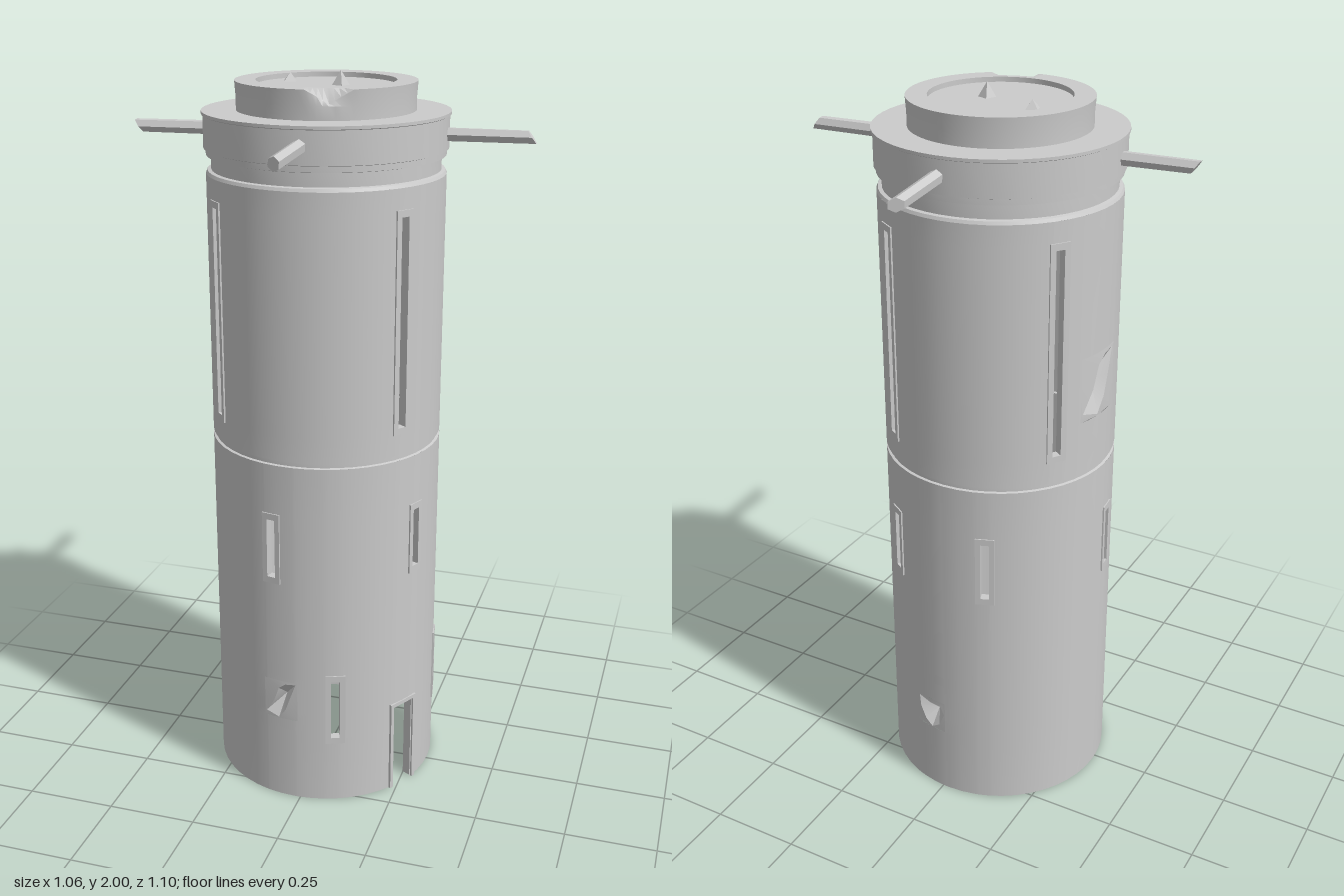
import * as THREE from 'three';
import { toCreasedNormals } from 'three/addons/utils/BufferGeometryUtils.js';

const R = 0.317, RAD = Math.PI / 180;
const grey = new THREE.MeshStandardMaterial({ color: 0xcccccc, side: THREE.DoubleSide });
const onWall = (deg, y, r = R) => [Math.cos(deg * RAD) * r, y, Math.sin(deg * RAD) * r];
const widthToDeg = (w) => w / R / RAD;

// angle around the tower (0 = +x, 90 = front), bottom, top
const upperSlits = [34.5, 137, 214.5, 304.5].map((a) => ({ a, y0: 1.09, y1: 1.685, w: 0.055 }));
const middleSlits = [23, 101, 174, 249, 304].map((a) => ({ a, y0: 0.67, y1: 0.875, w: 0.052 }));
const lowerSlits = [68.5, 350.5].map((a) => ({ a, y0: 0.185, y1: 0.4, w: 0.055 }));
const door = { a: 29.5, y0: 0, y1: 0.275, w: 0.1 };

// battle damage: eight outline points, matched to the corners and edge middles of a rectangle
const RECT = [[-1, -1], [0, -1], [1, -1], [1, 0], [1, 1], [0, 1], [-1, 1], [-1, 0]];
const slanted = [[-0.9, -0.75], [-0.1, -0.95], [0.3, -0.5], [0.55, 0.1], [0.9, 0.9], [0.3, 0.85], [-0.1, 0.6], [-0.4, -0.1]];
const blocky = [[-0.4, -0.6], [0.1, -0.95], [0.6, -0.6], [0.95, 0.2], [0.7, 0.7], [0, 0.7], [-0.9, 0.85], [-0.8, 0.1]];
const frontDent = { a: 97, y0: 0.25, y1: 0.37, w: 0.1, outline: slanted };
const backDent = { a: 280.5, y0: 0.2, y1: 0.3, w: 0.1, outline: blocky };
const sideDent = { a: 187, y0: 1.18, y1: 1.36, w: 0.15, outline: slanted };

function mesh(name, geometry, parent) {
  const m = new THREE.Mesh(geometry, grey);
  m.name = name;
  parent.add(m);
  return m;
}

function fromTriangles(pos) {
  const g = new THREE.BufferGeometry();
  g.setAttribute('position', new THREE.Float32BufferAttribute(pos, 3));
  return g;
}

// cylinder wall as a grid of cells, leaving out the openings
function wall(y0, y1, openings) {
  const holes = openings.map((o) => {
    const half = widthToDeg(o.outline ? o.w : o.w * 0.7) / 2;
    const inset = o.outline || o === door ? 0 : 0.01;
    return [o.a - half, o.a + half, o.y0 + inset, o.y1 - inset];
  });
  const angles = Array.from({ length: 49 }, (_, i) => i * 7.5).concat(holes.flatMap((h) => [h[0], h[1]]));
  const heights = [y0, y1].concat(holes.flatMap((h) => [h[2], h[3]]));
  const tidy = (list) => [...new Set(list.map((v) => +v.toFixed(4)))].sort((p, q) => p - q);
  const A = tidy(angles), Y = tidy(heights), pos = [];
  for (let i = 0; i < A.length - 1; i++) {
    for (let j = 0; j < Y.length - 1; j++) {
      const ca = (A[i] + A[i + 1]) / 2, cy = (Y[j] + Y[j + 1]) / 2;
      if (holes.some((h) => ca > h[0] && ca < h[1] && cy > h[2] && cy < h[3])) continue;
      const a = onWall(A[i + 1], Y[j]), b = onWall(A[i], Y[j]);
      const c = onWall(A[i], Y[j + 1]), d = onWall(A[i + 1], Y[j + 1]);
      pos.push(...a, ...b, ...c, ...a, ...c, ...d);
    }
  }
  return toCreasedNormals(fromTriangles(pos), 0.5);
}

// surround of wall surface plus a faceted pit
function dent(o) {
  const at = ([u, v], r) => onWall(o.a - (u * widthToDeg(o.w)) / 2, (o.y0 + o.y1) / 2 + (v * (o.y1 - o.y0)) / 2, r);
  const pos = [], pit = at([0.1, 0.1], R - 0.035);
  RECT.forEach((p, i) => {
    const k = (i + 1) % 8;
    const a = at(p), b = at(RECT[k]), c = at(o.outline[k]), d = at(o.outline[i]);
    pos.push(...a, ...b, ...c, ...a, ...c, ...d, ...d, ...c, ...pit);
  });
  return toCreasedNormals(fromTriangles(pos), 0.3);
}

function rectangle(Type, w, y0, y1) {
  const s = new Type();
  s.moveTo(-w / 2, y0).lineTo(w / 2, y0).lineTo(w / 2, y1).lineTo(-w / 2, y1).closePath();
  return s;
}

function placeOnWall(m, deg, depth) {
  m.position.set(...onWall(deg, 0, R + 0.003 - depth));
  m.rotation.y = Math.PI / 2 - deg * RAD;
}

function slitFrame(o, parent) {
  const shape = rectangle(THREE.Shape, o.w, o.y0, o.y1);
  shape.holes.push(rectangle(THREE.Path, 0.024, o.y0 + 0.018, o.y1 - 0.018));
  const g = new THREE.ExtrudeGeometry(shape, { depth: 0.025, bevelEnabled: false });
  placeOnWall(mesh('windowFrame', g, parent), o.a, 0.025);
}

function doorFrame(parent) {
  const h = door.w / 2, t = 0.011, top = door.y1;
  const pts = [[-h, 0], [-h + t, 0], [-h + t, top - t], [h - t, top - t], [h - t, 0], [h, 0], [h, top], [-h, top]];
  const shape = new THREE.Shape(pts.map((p) => new THREE.Vector2(...p)));
  const g = new THREE.ExtrudeGeometry(shape, { depth: 0.035, bevelEnabled: false });
  placeOnWall(mesh('doorFrame', g, parent), door.a, 0.035);
}

function lathe(points, segments = 48) {
  return new THREE.LatheGeometry(points.map((p) => new THREE.Vector2(...p)), segments);
}

// faceted beam with an obliquely cut, pointed end
function beam(from, to, slant) {
  const a = new THREE.Vector3(...from), b = new THREE.Vector3(...to);
  const length = a.distanceTo(b), dir = b.clone().sub(a).normalize();
  const g = new THREE.CylinderGeometry(0.018, 0.019, length, 6);
  const p = g.attributes.position;
  for (let i = 0; i < p.count; i++) {
    if (p.getY(i) > 0) p.setY(i, p.getY(i) - 0.012 + slant * p.getX(i));
  }
  g.applyQuaternion(new THREE.Quaternion().setFromUnitVectors(new THREE.Vector3(0, 1, 0), dir));
  g.translate((a.x + b.x) / 2, (a.y + b.y) / 2, (a.z + b.z) / 2);
  return toCreasedNormals(g, 0.3);
}

export function createModel() {
  const model = new THREE.Group();
  model.name = 'tower';
  const tower = new THREE.Group();
  tower.name = 'towerBody';
  tower.position.set(-0.018, 0, -0.018);
  model.add(tower);

  // main walls with a narrow groove between them
  mesh('lowerWall', wall(0, 1.015, [...middleSlits, ...lowerSlits, door, frontDent, backDent]), tower);
  mesh('upperWall', wall(1.03, 1.74, [...upperSlits, sideDent]), tower);
  mesh('wallGroove', toCreasedNormals(lathe([[R, 1.015], [0.31, 1.017], [0.31, 1.028], [R, 1.03]]), 0.5), tower);
  [...upperSlits, ...middleSlits, ...lowerSlits].forEach((o) => slitFrame(o, tower));
  doorFrame(tower);
  [frontDent, backDent, sideDent].forEach((o) => mesh('wallDent', dent(o), tower));

  // stepped collar and its flat roof
  const collar = [[R, 1.74], [0.313, 1.748], [0.303, 1.75], [0.303, 1.785], [0.316, 1.788], [0.316, 1.803],
    [0.322, 1.805], [0.322, 1.89], [0.326, 1.892], [0.326, 1.9], [0.235, 1.9]];
  mesh('collar', toCreasedNormals(lathe(collar), 0.5), tower);

  // top drum with a sunken lid; the rim is broken at the front
  const drum = lathe([[0.235, 1.9], [0.235, 1.935], [0.238, 1.975], [0.2, 1.975], [0.183, 1.975],
    [0.183, 1.962], [0, 1.962]], 96);
  const p = drum.attributes.position;
  for (let i = 0; i < p.count; i++) {
    const x = p.getX(i), z = p.getZ(i);
    if (Math.hypot(x, z) < 0.21 || p.getY(i) < 1.95) continue;
    const away = Math.abs(Math.atan2(z, x) / RAD - 71) / 15;
    if (away < 1) {
      p.setXYZ(i, x * (0.94 + 0.06 * away), p.getY(i) - 0.035 * (1 - away), z * (0.94 + 0.06 * away));
    }
  }
  mesh('topDrum', toCreasedNormals(drum, 0.5), tower);

  // loose shards on the lid
  [[0.04, 0.003, 0.024, 2.0, 0.4], [-0.115, -0.05, 0.024, 1.985, 1.1]].forEach(([x, z, r, top, turn]) => {
    const g = new THREE.ConeGeometry(r, top - 1.96, 4);
    g.rotateY(turn);
    g.translate(x, (top + 1.96) / 2, z);
    mesh('shard', toCreasedNormals(g, 0.2), tower);
  });

  // four beams sticking out of the collar
  [
    [[0.28, 1.845, -0.037], [0.53, 1.845, -0.052], 0.7],
    [[-0.32, 1.845, 0.02], [-0.535, 1.845, 0.037], 0.7],
    [[0.009, 1.85, 0.28], [0.03, 1.847, 0.55], 0.7],
    [[-0.02, 1.848, -0.32], [-0.037, 1.836, -0.55], 0.7],
  ].forEach(([from, to, slant]) => mesh('beam', beam(from, to, slant), model));

  return model;
}
